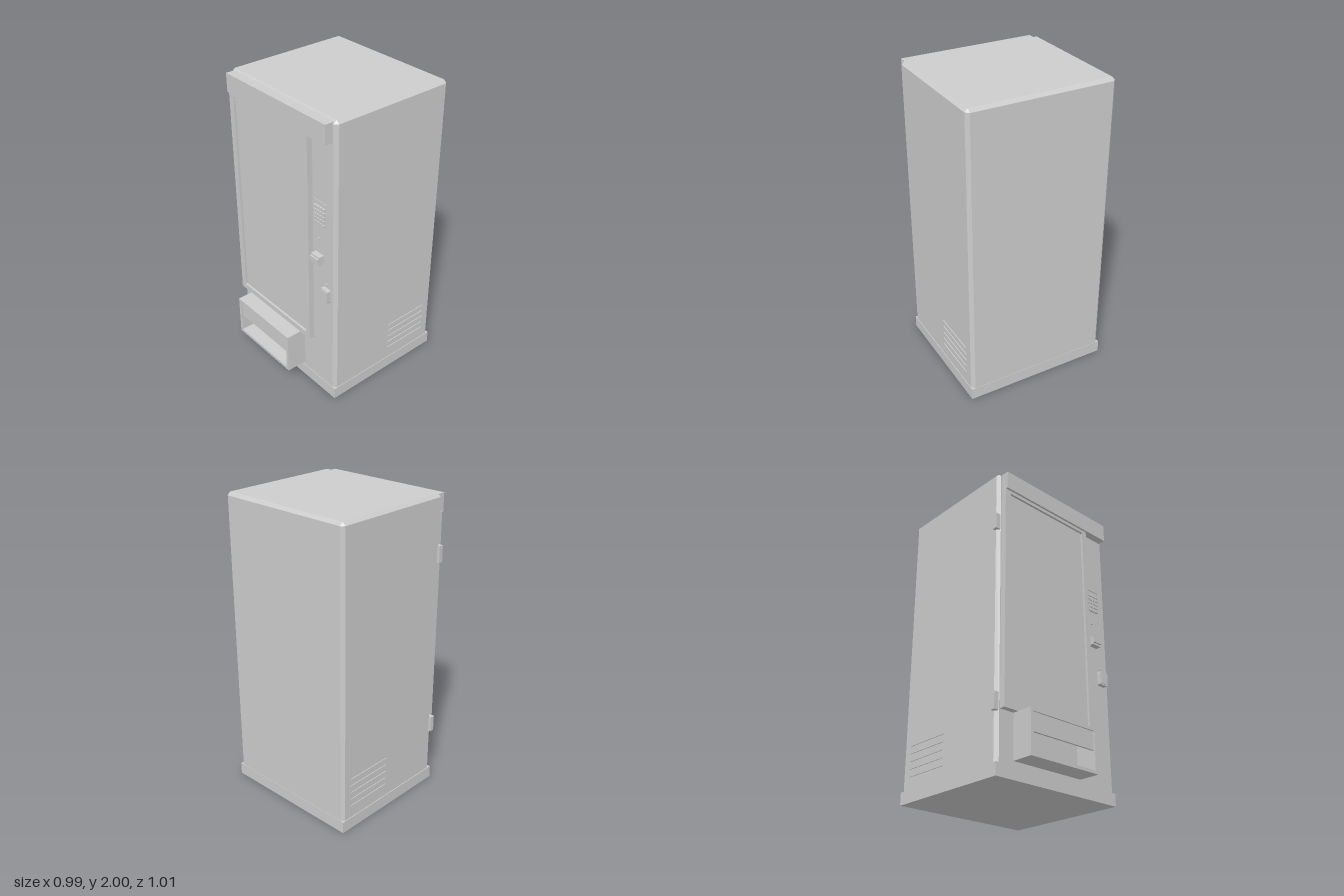
import * as THREE from 'three';
import { ConvexGeometry } from 'three/addons/geometries/ConvexGeometry.js';

const paint = new THREE.MeshStandardMaterial({ color: 0xcccccc });
paint.name = 'lightGrey';

// Door face, and the cabinet's side planes
const FRONT = 0.362, LEFT = 0.489, RIGHT = -0.48;

export function createModel() {
  const model = new THREE.Group();
  model.name = 'vendingMachine';

  const add = (name, geometry, parent = model) => {
    const mesh = new THREE.Mesh(geometry, paint);
    mesh.name = name;
    parent.add(mesh);
    return mesh;
  };
  const group = (name) => {
    const g = new THREE.Group();
    g.name = name;
    model.add(g);
    return g;
  };
  // Box given by its limits on each axis
  const box = (name, [x0, x1], [y0, y1], [z0, z1], parent) => {
    const mesh = add(name, new THREE.BoxGeometry(x1 - x0, y1 - y0, z1 - z0), parent);
    mesh.position.set((x0 + x1) / 2, (y0 + y1) / 2, (z0 + z1) / 2);
    return mesh;
  };
  // Rounded rectangle outline
  const outline = (Type, x0, x1, y0, y1, r) => {
    const s = new Type();
    s.moveTo(x0 + r, y0);
    s.lineTo(x1 - r, y0);
    s.quadraticCurveTo(x1, y0, x1, y0 + r);
    s.lineTo(x1, y1 - r);
    s.quadraticCurveTo(x1, y1, x1 - r, y1);
    s.lineTo(x0 + r, y1);
    s.quadraticCurveTo(x0, y1, x0, y1 - r);
    s.lineTo(x0, y0 + r);
    s.quadraticCurveTo(x0, y0, x0 + r, y0);
    return s;
  };
  const plate = (name, shape, z, depth, parent) => {
    const geometry = new THREE.ExtrudeGeometry(shape, { depth, bevelEnabled: false, curveSegments: 4 });
    add(name, geometry, parent).position.z = z;
  };

  // Cabinet with chamfered upright and top edges
  const points = [], c = 0.021;
  for (const [x, sx] of [[RIGHT, -1], [LEFT, 1]]) {
    for (const [z, sz] of [[-0.503, -1], [FRONT, 1]]) {
      for (const y of [0.07, 1.98]) {
        points.push(new THREE.Vector3(x, y, z - sz * c), new THREE.Vector3(x - sx * c, y, z));
      }
      points.push(new THREE.Vector3(x - sx * c, 2, z - sz * c));
    }
  }
  add('cabinet', new ConvexGeometry(points));
  box('plinth', [-0.485, 0.493], [0, 0.08], [-0.505, 0.366]);

  // Header box above the window
  box('header', [-0.45, 0.459], [1.867, 1.99], [FRONT - 0.01, 0.414]);

  // Raised window frame with a recessed pane
  const frame = outline(THREE.Shape, -0.453, 0.286, 0.393, 1.88, 0.002);
  frame.holes.push(outline(THREE.Path, -0.41, 0.248, 0.43, 1.846, 0.01));
  plate('windowFrame', frame, FRONT - 0.005, 0.043);
  box('windowPane', [-0.415, 0.253], [0.425, 1.851], [FRONT - 0.005, 0.385]);

  // Delivery tray: open box with a flap over its upper half
  const tray = group('deliveryTray');
  const depth = [FRONT - 0.01, 0.504];
  for (const [x0, x1] of [[-0.352, -0.331], [0.167, 0.188]]) box('traySide', [x0, x1], [0.11, 0.392], depth, tray);
  box('trayFloor', [-0.331, 0.167], [0.11, 0.13], depth, tray);
  box('trayTop', [-0.331, 0.167], [0.372, 0.392], depth, tray);
  box('trayFlap', [-0.331, 0.167], [0.255, 0.375], [0.482, 0.495], tray);

  // Keypad, display strip and small controls
  const controls = group('controls');
  for (let row = 0; row < 5; row++) {
    for (let col = 0; col < 4; col++) {
      const x = 0.31 + col * 0.024, y = 1.29 + row * 0.027;
      box('keypadButton', [x, x + 0.019], [y, y + 0.021], [FRONT - 0.005, 0.376], controls);
    }
  }
  box('displayStrip', [0.3, 0.42], [1.445, 1.451], [FRONT - 0.005, 0.366], controls);

  const knob = (name, x, y, r) => {
    const mesh = add(name, new THREE.CylinderGeometry(r, r, 0.016, 16), controls);
    mesh.rotation.x = Math.PI / 2;
    mesh.position.set(x, y, FRONT);
  };
  knob('indicator', 0.345, 1.195, 0.006);
  knob('lock', 0.41, 0.888, 0.008);

  // Coin slot housing and coin return
  box('coinSlot', [0.31, 0.385], [1.027, 1.086], [FRONT - 0.005, 0.4], controls);
  box('coinSlotLip', [0.312, 0.383], [1.04, 1.075], [0.395, 0.411], controls);
  plate('coinReturn', outline(THREE.Shape, 0.381, 0.447, 0.768, 0.863, 0.012), FRONT - 0.005, 0.033, controls);
  plate('coinReturnFlap', outline(THREE.Shape, 0.388, 0.44, 0.776, 0.856, 0.008), FRONT, 0.032, controls);

  // Door hinges on the model's right
  for (const y of [0.38, 1.573]) box('hinge', [-0.498, -0.465], [y, y + 0.108], [0.333, FRONT + 0.002]);

  // Vent slats on both sides
  const vents = group('sideVents');
  for (let i = 0; i < 5; i++) {
    const y = [0.16 + i * 0.049, 0.17 + i * 0.049];
    box('ventSlat', [RIGHT - 0.005, RIGHT + 0.005], y, [-0.428, -0.106], vents);
    box('ventSlat', [LEFT - 0.005, LEFT + 0.005], y, [-0.428, -0.106], vents);
  }
  return model;
}
